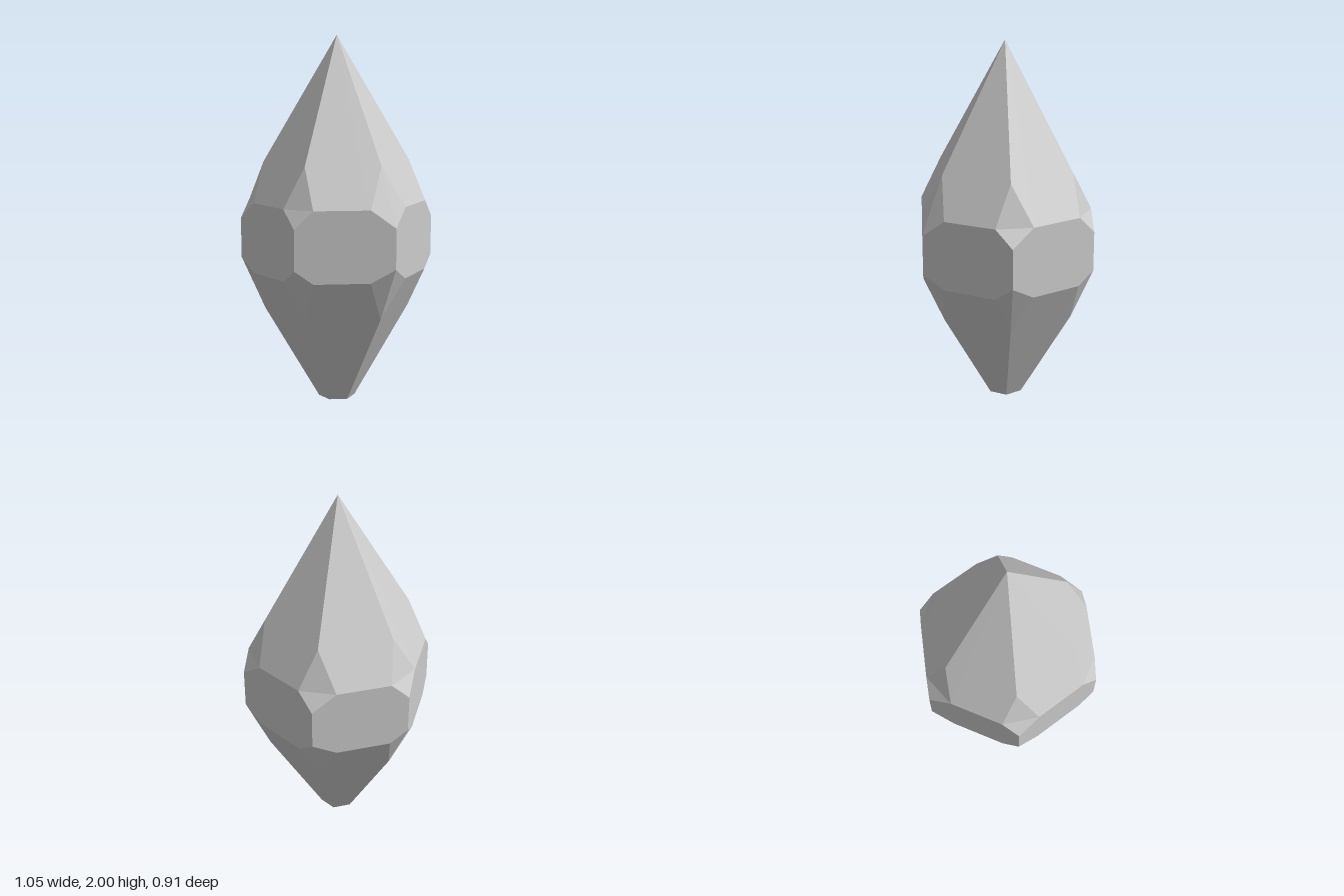
import * as THREE from 'three';

const SIDES = 6;
const R = 0.525; // girdle corner radius

// point on the ray towards corner k
function corner(k, r, y) {
  const a = (k * Math.PI * 2) / SIDES;
  return new THREE.Vector3(r * Math.cos(a), y, r * Math.sin(a));
}

// point along girdle side k, t running from corner k to corner k + 1
function along(k, t, y) {
  return corner(k, R, y).lerp(corner(k + 1, R, y), t);
}

// where the corner cuts begin and end on side k
function cuts(k) {
  return k === 1 ? [0.25, 0.813] : [0.187, 0.75];
}

// flat-shaded mesh from convex polygons, each turned to face outwards
function facetMesh(name, polygons) {
  const core = new THREE.Vector3(0, 0.9, 0);
  const points = [];
  for (const poly of polygons) {
    for (let i = 1; i < poly.length - 1; i++) {
      const [a, b, c] = [poly[0], poly[i], poly[i + 1]];
      const n = b.clone().sub(a).cross(c.clone().sub(a));
      const outward = n.dot(a.clone().sub(core)) > 0;
      points.push(...(outward ? [a, b, c] : [a, c, b]));
    }
  }
  const geometry = new THREE.BufferGeometry().setFromPoints(points);
  geometry.computeVertexNormals();
  const material = new THREE.MeshStandardMaterial({ color: 0xcccccc, flatShading: true });
  const mesh = new THREE.Mesh(geometry, material);
  mesh.name = name;
  return mesh;
}

export function createModel() {
  const apex = new THREE.Vector3(0, 2, 0);
  const crown = [], girdle = [], pavilion = [], upperCuts = [], lowerCuts = [], base = [];

  // key heights: crown edge end, girdle top, girdle corners, girdle bottom, pavilion edge end
  const crownTip = (k) => corner(k, 0.398, 1.325);
  const high = (k) => corner(k, R, 1.015);
  const low = (k) => corner(k, R, 0.8);
  const pavilionTip = (k) => corner(k, 0.397, 0.51);
  const foot = (k) => corner(k, 0.1, 0);

  for (let k = 0; k < SIDES; k++) {
    const [t0, t1] = cuts(k);
    const prev = (k + SIDES - 1) % SIDES;
    const tPrev = cuts(prev)[1];
    const top0 = along(k, t0, 1.11), top1 = along(k, t1, 1.11);
    const bot0 = along(k, t0, 0.73), bot1 = along(k, t1, 0.73);
    const topPrev = along(prev, tPrev, 1.11), botPrev = along(prev, tPrev, 0.73);

    // main facets
    crown.push([apex, crownTip(k), top0, top1, crownTip(k + 1)]);
    girdle.push([high(k), top0, top1, high(k + 1), low(k + 1), bot1, bot0, low(k)]);
    pavilion.push([foot(k), pavilionTip(k), bot0, bot1, pavilionTip(k + 1), foot(k + 1)]);
    base.push(foot(k));

    // corner facets: one upper cut folds upright, the others fold level
    if (k === 1) upperCuts.push([crownTip(k), topPrev, high(k)], [crownTip(k), high(k), top0]);
    else upperCuts.push([crownTip(k), topPrev, top0], [topPrev, high(k), top0]);
    lowerCuts.push([pavilionTip(k), botPrev, low(k)], [pavilionTip(k), low(k), bot0]);
  }

  const group = new THREE.Group();
  group.name = 'crystal';
  group.add(
    facetMesh('crown', crown),
    facetMesh('girdle', girdle),
    facetMesh('pavilion', pavilion),
    facetMesh('upperCornerFacets', upperCuts),
    facetMesh('lowerCornerFacets', lowerCuts),
    facetMesh('base', [base]),
  );
  return group;
}
